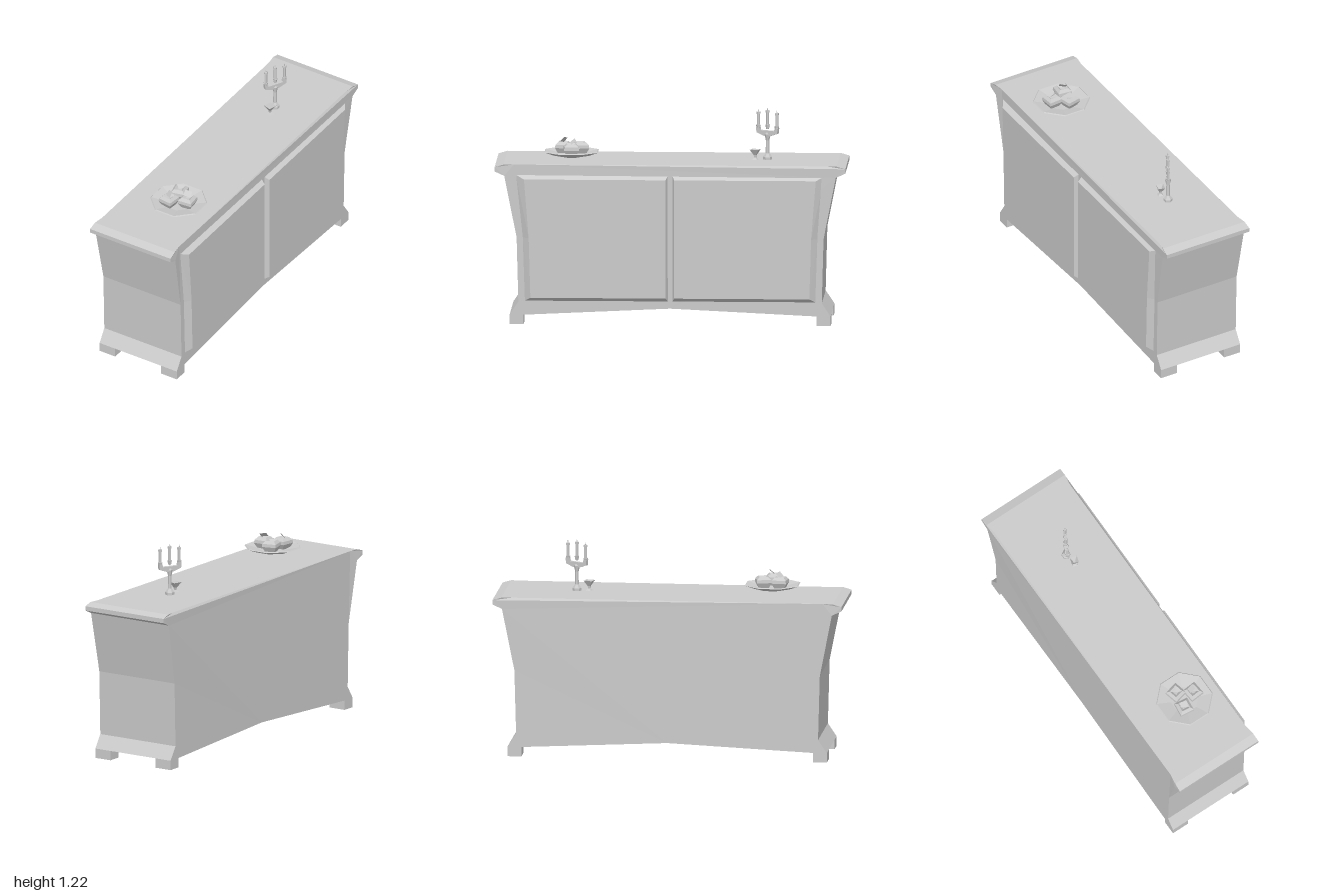
import * as THREE from 'three';

const grey = new THREE.MeshStandardMaterial({ color: 0xcccccc, flatShading: true });
const greyThin = new THREE.MeshStandardMaterial({ color: 0xcccccc, flatShading: true, side: THREE.DoubleSide });

function add(parent, name, geometry, x = 0, y = 0, z = 0, material = grey) {
  const mesh = new THREE.Mesh(geometry, material);
  mesh.name = name;
  mesh.position.set(x, y, z);
  parent.add(mesh);
  return mesh;
}

const lathe = (points, sides) =>
  new THREE.LatheGeometry(points.map(([r, y]) => new THREE.Vector2(r, y)), sides);

// Carcass: end-to-end profile swept across the depth, flared at the top corners
function bodyGeometry() {
  const half = [
    [0.835, 0.055], [0.915, 0.055], [0.865, 0.13], [0.875, 0.5], [0.945, 0.855],
    [1, 0.88], [1, 0.905], [0.95, 0.92], [0.89, 0.92],
  ];
  const mirrored = half.map(([z, y]) => [-z, y]).reverse();
  const outline = [[0, 0.095], ...half, ...mirrored].map(([z, y]) => new THREE.Vector2(z, y));
  const geo = new THREE.ExtrudeGeometry(new THREE.Shape(outline), { depth: 0.52, bevelEnabled: false });
  geo.translate(0, 0, -0.26).rotateY(-Math.PI / 2).translate(-0.01, 0, 0);
  const p = geo.attributes.position;
  for (let i = 0; i < p.count; i++) {
    if (p.getY(i) > 0.8 && Math.abs(p.getZ(i)) > 0.92) {
      const flare = Math.abs(p.getZ(i)) > 0.97 ? 0.011 : 0.009;
      p.setX(i, p.getX(i) + Math.sign(p.getX(i)) * flare);
    }
  }
  geo.computeVertexNormals();
  return geo;
}

// Raised door panel: loft from the base outline to the smaller front outline
function doorGeometry(side) {
  const base = [[0.842, 0.5], [0.83, 0.135], [0.012, 0.135], [0.012, 0.86], [0.88, 0.86]];
  const face = [[0.805, 0.5], [0.795, 0.157], [0.025, 0.157], [0.025, 0.838], [0.832, 0.838]];
  const n = base.length;
  const positions = [
    ...base.flatMap(([z, y]) => [0.248, y, z * side]),
    ...face.flatMap(([z, y]) => [0.28, y, z * side]),
  ];
  const index = [];
  const tri = (a, b, c) => index.push(...(side > 0 ? [a, b, c] : [a, c, b]));
  for (let i = 0; i < n; i++) {
    const j = (i + 1) % n;
    tri(i, j, n + j);
    tri(i, n + j, n + i);
    if (i > 0 && i < n - 1) tri(n, n + i, n + i + 1);
  }
  const geo = new THREE.BufferGeometry();
  geo.setAttribute('position', new THREE.Float32BufferAttribute(positions, 3));
  geo.setIndex(index);
  const flat = geo.toNonIndexed();
  flat.computeVertexNormals();
  return flat;
}

function fruitBowl() {
  const group = new THREE.Group();
  group.name = 'fruitBowl';
  group.position.set(0.045, 0.92, 0.57);
  const plate = lathe([[0, 0.01], [0.03, 0.012], [0.11, 0.028], [0.165, 0.048], [0.16, 0.053], [0.08, 0.035], [0, 0.03]], 8);
  add(group, 'plate', plate, 0, 0, 0, greyThin).rotation.y = Math.PI / 8;

  // Four-sided fruit with a dimple on top
  const fruit = lathe([[0, 0], [0.04, 0], [0.06, 0.03], [0.057, 0.048], [0.036, 0.064], [0.018, 0.052], [0, 0.05]], 4);
  const spots = [[-0.025, -0.05, 0.5], [0.06, 0.0, 0.35], [-0.035, 0.048, 0.15]];
  spots.forEach(([x, z, turn], i) => {
    add(group, 'fruit' + (i + 1), fruit, x, 0.035, z, greyThin).rotation.y = turn + Math.PI / 6;
  });

  // Leaves standing on two of the fruit
  const leaf = new THREE.PlaneGeometry(0.042, 0.035);
  add(group, 'leaf1', leaf, 0.055, 0.112, -0.01, greyThin).rotation.set(-0.9, 0.3, 0.1);
  add(group, 'leaf2', leaf, -0.035, 0.11, 0.045, greyThin).rotation.set(-0.8, -0.5, -0.2);
  return group;
}

function candelabra() {
  const group = new THREE.Group();
  group.name = 'candelabra';
  group.position.set(-0.01, 0.92, -0.545);
  group.rotation.y = 1.08;

  const stand = lathe([[0, 0], [0.026, 0], [0.026, 0.015], [0.011, 0.036], [0.01, 0.11], [0.018, 0.145], [0.012, 0.155], [0, 0.155]], 6);
  add(group, 'stand', stand);

  // Shallow U-shaped cross arm
  const arm = new THREE.Shape([
    [-0.072, 0.185], [-0.068, 0.152], [-0.02, 0.135], [0.02, 0.135], [0.068, 0.152], [0.072, 0.185],
    [0.052, 0.185], [0.048, 0.166], [-0.048, 0.166], [-0.052, 0.185],
  ].map(([x, y]) => new THREE.Vector2(x, y)));
  const armGeo = new THREE.ExtrudeGeometry(arm, { depth: 0.02, bevelEnabled: false });
  add(group, 'crossArm', armGeo, 0, 0, -0.01);

  const holder = new THREE.CylinderGeometry(0.014, 0.009, 0.025, 5);
  const candle = new THREE.CylinderGeometry(0.009, 0.009, 0.085, 5);
  const drip = new THREE.CylinderGeometry(0.012, 0.012, 0.012, 5);
  const wick = new THREE.CylinderGeometry(0.002, 0.004, 0.016, 4);
  for (const [x, lift] of [[-0.061, 0], [0, 0.012], [0.061, 0]]) {
    add(group, 'candleHolder', holder, x, 0.182 + lift * 0.5, 0);
    add(group, 'candle', candle, x, 0.225 + lift, 0);
    add(group, 'candleTop', drip, x, 0.264 + lift, 0);
    add(group, 'wick', wick, x, 0.276 + lift, 0);
  }
  return group;
}

export function createModel() {
  const model = new THREE.Group();
  model.name = 'sideboard';

  add(model, 'body', bodyGeometry());
  const foot = new THREE.BoxGeometry(0.105, 0.055, 0.08);
  for (const side of [1, -1]) {
    for (const x of [-0.2175, 0.1975]) add(model, 'foot', foot, x, 0.0275, 0.875 * side);
    add(model, side > 0 ? 'leftDoor' : 'rightDoor', doorGeometry(side));
  }
  model.add(fruitBowl(), candelabra());

  // Square goblet, hollow at the top
  const goblet = lathe([[0, 0], [0.022, 0], [0.007, 0.012], [0.01, 0.026], [0.036, 0.058], [0.03, 0.058], [0.01, 0.034], [0, 0.034]], 4);
  add(model, 'goblet', goblet, 0, 0.92, -0.475, greyThin).rotation.y = 0.5;
  return model;
}
